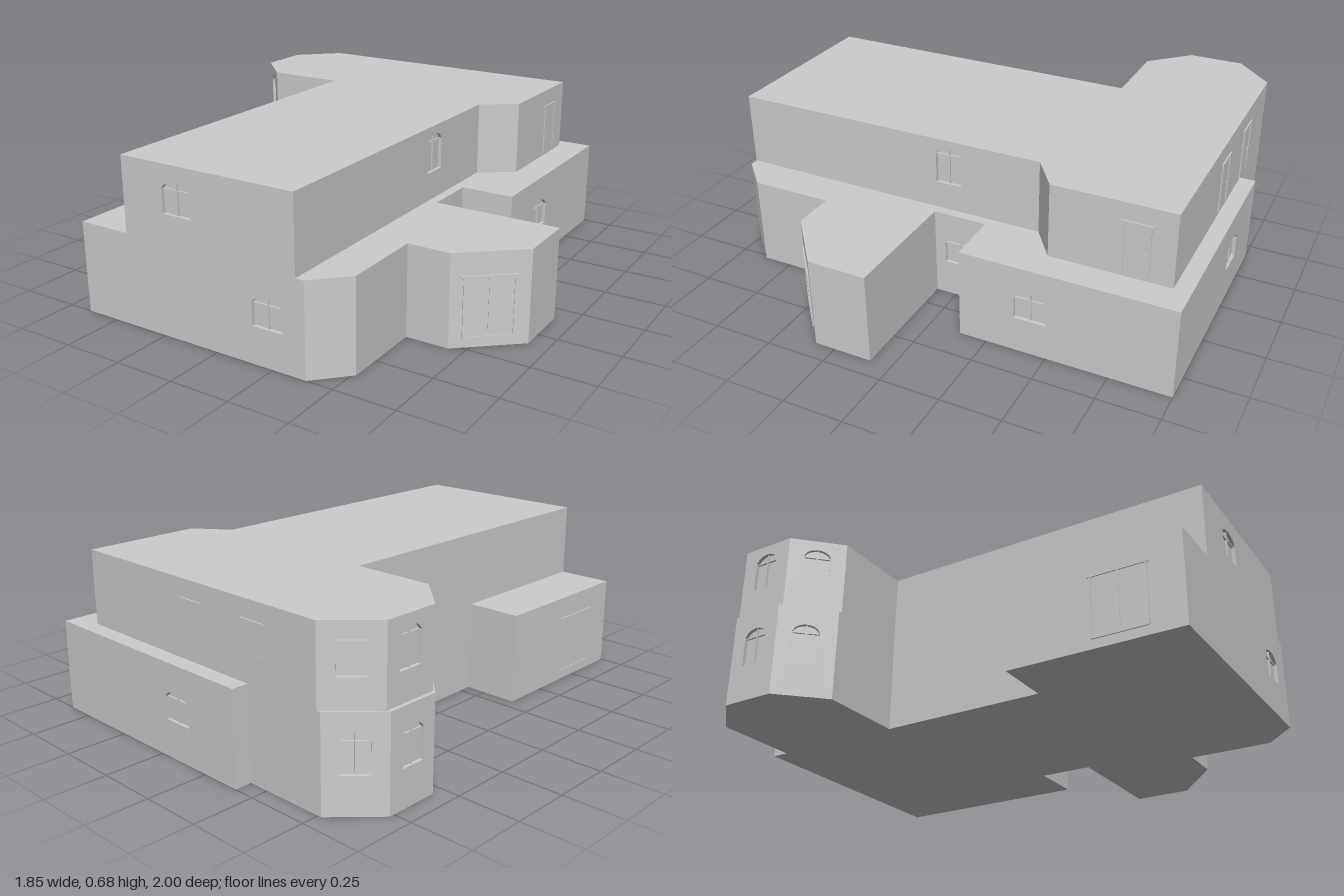
import * as THREE from 'three';

const mat = new THREE.MeshStandardMaterial({ color: 0xcccccc, flatShading: true });
const RECESS = 0.015;

function add(parent, geometry, name, x = 0, y = 0, z = 0) {
  const mesh = new THREE.Mesh(geometry, mat);
  mesh.name = name;
  mesh.position.set(x, y, z);
  parent.add(mesh);
  return mesh;
}

const box = (w, h, d) => new THREE.BoxGeometry(w, h, d);

// Closed path with a shallow arched head
function archPath(Type, u, w, y0, y1, inset = 0) {
  const a = u - w / 2 + inset, b = u + w / 2 - inset;
  const spring = y1 - 0.035, rise = 0.035 - inset;
  const p = new Type();
  p.moveTo(a, y0 + inset);
  p.lineTo(b, y0 + inset);
  p.lineTo(b, spring);
  p.bezierCurveTo(b - w * 0.12, spring + rise * 1.33, a + w * 0.12, spring + rise * 1.33, a, spring);
  p.closePath();
  return p;
}

// Recessed arched window: reveal frame, pane, mullion and transom
function addWindow(wall, { u, w, y0, y1 }) {
  const g = new THREE.Group();
  g.name = 'archedWindow';
  const frame = archPath(THREE.Shape, u, w, y0, y1);
  frame.holes.push(archPath(THREE.Path, u, w, y0, y1, 0.005));
  add(g, new THREE.ExtrudeGeometry(frame, { depth: RECESS, bevelEnabled: false, curveSegments: 8 }),
    'windowFrame', 0, 0, -RECESS);
  add(g, new THREE.ShapeGeometry(archPath(THREE.Shape, u, w, y0, y1), 8), 'windowPane', 0, 0, -RECESS + 0.001);
  add(g, box(0.006, y1 - y0 - 0.01, 0.008), 'mullion', u, (y0 + y1) / 2, -RECESS + 0.004);
  add(g, box(w - 0.008, 0.006, 0.008), 'transom', u, y1 - 0.037, -RECESS + 0.004);
  wall.add(g);
}

// Door: thin leaf with projecting jambs and lintel
function addDoor(wall, { u, w, y0, y1, double }) {
  const g = new THREE.Group();
  g.name = double ? 'doubleDoor' : 'door';
  const h = y1 - y0;
  add(g, box(w, h, 0.002), 'doorLeaf', u, y0 + h / 2, 0.0005);
  for (const s of [-1, 1]) add(g, box(0.007, h, 0.008), 'doorJamb', u + s * w / 2, y0 + h / 2, 0.001);
  add(g, box(w + 0.02, 0.008, 0.01), 'doorLintel', u, y1, 0.001);
  if (double) {
    add(g, box(0.006, h, 0.006), 'meetingStile', u, y0 + h / 2, 0.001);
    add(g, box(w, 0.007, 0.008), 'doorSill', u, y0, 0.001);
  } else {
    add(g, box(0.01, 0.006, 0.008), 'doorHandle', u + w * 0.35, y0 + h * 0.45, 0.002);
  }
  wall.add(g);
}

// One storey: a wall per outline edge with its openings, plus roof and floor
function buildStorey(name, outline, base, top, windows, doors, withFloor) {
  const storey = new THREE.Group();
  storey.name = name;
  outline.forEach(([x, z], i) => {
    const [nx, nz] = outline[(i + 1) % outline.length];
    const length = Math.hypot(nx - x, nz - z);
    const wall = new THREE.Group();
    wall.name = 'wall';
    wall.position.set(x, 0, z);
    wall.rotation.y = Math.atan2(z - nz, nx - x);
    const face = new THREE.Shape([
      new THREE.Vector2(0, base), new THREE.Vector2(length, base),
      new THREE.Vector2(length, top), new THREE.Vector2(0, top)]);
    for (const o of windows.filter((v) => v.wall === i)) {
      face.holes.push(archPath(THREE.Path, o.u, o.w, o.y0, o.y1));
      addWindow(wall, o);
    }
    for (const o of doors.filter((v) => v.wall === i)) addDoor(wall, o);
    add(wall, new THREE.ShapeGeometry(face, 8), 'wallFace');
    storey.add(wall);
  });
  const roof = new THREE.Shape(outline.map(([x, z]) => new THREE.Vector2(x, -z)));
  add(storey, new THREE.ShapeGeometry(roof).rotateX(-Math.PI / 2), 'flatRoof', 0, top, 0);
  if (withFloor) {
    const floor = new THREE.Shape(outline.map(([x, z]) => new THREE.Vector2(x, z)));
    add(storey, new THREE.ShapeGeometry(floor).rotateX(Math.PI / 2), 'floor', 0, base, 0);
  }
  return storey;
}

export function createModel() {
  const model = new THREE.Group();
  model.name = 'house';

  // Ground floor outline as [x, z], starting along the front wall
  const lower = [
    [-0.645, 1], [0.39, 1], [0.515, 0.875], [0.515, 0.53], [0.69, 0.53],
    [0.92, 0.335], [0.92, 0.09], [0.395, 0.09], [0.395, -0.135], [0.62, -0.135],
    [0.62, -1], [-0.415, -1], [-0.415, -0.93], [-0.765, -0.93], [-0.925, -0.77],
    [-0.925, -0.55], [-0.765, -0.385], [-0.415, -0.385], [-0.415, 0.305], [-0.645, 0.305]];
  const low = { y0: 0.145, y1: 0.275, w: 0.14 };
  const lowBay = { y0: 0.145, y1: 0.305, w: 0.113 };
  const lowerWindows = [
    { wall: 0, u: 0.875, ...low }, { wall: 7, u: 0.11, ...low },
    { wall: 9, u: 0.295, ...low }, { wall: 10, u: 0.72, ...low },
    ...[13, 14, 15].map((wall) => ({ wall, u: 0.112, ...lowBay }))];
  const lowerDoors = [
    { wall: 4, u: 0.148, w: 0.19, y0: 0.04, y1: 0.28, double: true },
    { wall: 19, u: 0.45, w: 0.215, y0: 0.04, y1: 0.28, double: true }];
  model.add(buildStorey('groundFloor', lower, 0, 0.375, lowerWindows, lowerDoors, true));

  // Upper floor
  const upper = [
    [-0.415, 1], [0.355, 1], [0.355, -0.345], [0.495, -0.445], [0.495, -0.932],
    [-0.75, -0.932], [-0.91, -0.775], [-0.91, -0.545], [-0.75, -0.385], [-0.415, -0.385]];
  const upBay = { y0: 0.485, y1: 0.645, w: 0.113 };
  const upperWindows = [
    { wall: 0, u: 0.255, w: 0.14, y0: 0.485, y1: 0.62 },
    { wall: 1, u: 0.955, w: 0.12, y0: 0.485, y1: 0.65 },
    ...[5, 6, 7].map((wall) => ({ wall, u: 0.114, ...upBay }))];
  const door = { w: 0.1, y0: 0.385, y1: 0.605 };
  const upperDoors = [
    { wall: 3, u: 0.34, ...door }, { wall: 4, u: 0.615, ...door }, { wall: 4, u: 0.94, ...door }];
  model.add(buildStorey('upperFloor', upper, 0.375, 0.68, upperWindows, upperDoors, false));

  return model;
}
